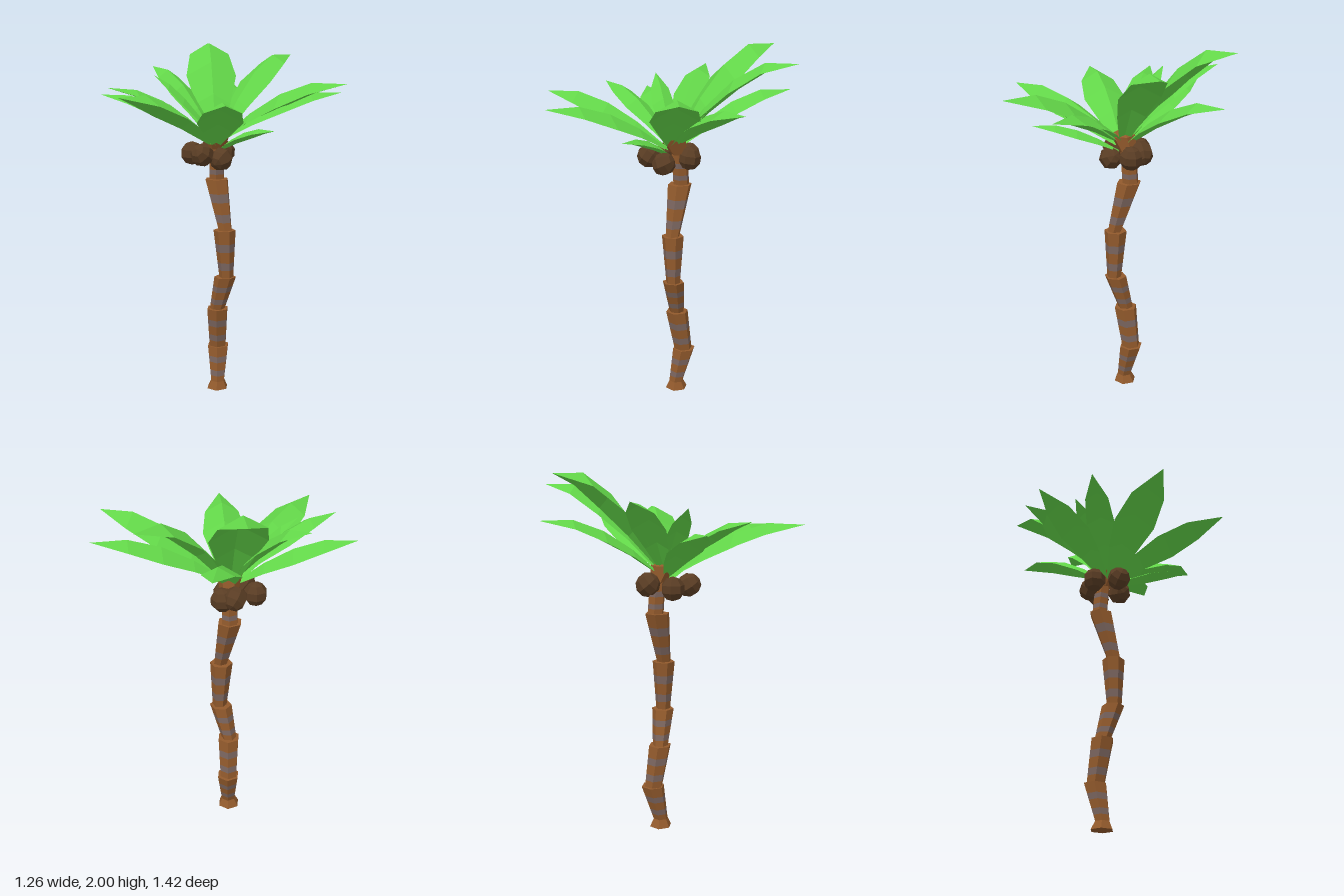
import * as THREE from 'three';

const paint = (color, extra = {}) => new THREE.MeshStandardMaterial({ color, flatShading: true, ...extra });

// Tapered, sheared six-sided piece between two rings given as [x, y, z, radius]
function piece(a, b, material, name, turn = 0, open = false) {
  const h = b[1] - a[1];
  const g = new THREE.CylinderGeometry(b[3], a[3], h, 6, 1, open, turn);
  const p = g.attributes.position;
  for (let i = 0; i < p.count; i++) {
    const t = p.getY(i) / h + 0.5;
    p.setXYZ(i, p.getX(i) + a[0] + (b[0] - a[0]) * t, a[1] + h * t, p.getZ(i) + a[2] + (b[2] - a[2]) * t);
  }
  g.computeVertexNormals();
  const mesh = new THREE.Mesh(g, material);
  mesh.name = name;
  return mesh;
}

// Arched, pointed leaf with a raised midrib, from hub to tip
function leaf(hub, tip, halfWidth, arch, material) {
  const dx = tip[0] - hub[0], dz = tip[2] - hub[2];
  const len = Math.hypot(dx, dz);
  const sx = dz / len, sz = -dx / len;
  // fraction along the leaf, bulge above the straight line, fraction of the width
  const sections = [[0.04, -0.04, 0.2], [0.27, 0.17, 0.68], [0.5, 0.27, 1], [0.74, 0.24, 0.8]];
  const pos = [], index = [];
  for (const [t, bulge, w] of sections) {
    const x = hub[0] + dx * t, z = hub[2] + dz * t;
    const y = hub[1] + (tip[1] - hub[1]) * (t + bulge * arch);
    for (const side of [-1, 0, 1]) {
      const o = side * w * halfWidth;
      pos.push(x + sx * o, y + w * halfWidth * 0.1 - Math.abs(o) * 0.55, z + sz * o);
    }
  }
  pos.push(...tip);
  for (let i = 0; i < 3; i++) {
    for (let j = 0; j < 2; j++) {
      const a = i * 3 + j;
      index.push(a, a + 3, a + 1, a + 1, a + 3, a + 4);
    }
  }
  index.push(9, 12, 10, 10, 12, 11);
  const g = new THREE.BufferGeometry();
  g.setAttribute('position', new THREE.Float32BufferAttribute(pos, 3));
  g.setIndex(index);
  g.computeVertexNormals();
  const mesh = new THREE.Mesh(g, material);
  mesh.name = 'leaf';
  return mesh;
}

export function createModel() {
  const model = new THREE.Group();
  model.name = 'palmTree';
  const bark = paint(0x925a2c), band = paint(0x7a655f), nutBrown = paint(0x5a3d24);
  const green = paint(0x62d548, { side: THREE.DoubleSide });
  const turned = Math.PI / 6;

  // Trunk: flared foot, then stacked segments that widen upwards
  const trunk = new THREE.Group();
  trunk.name = 'trunk';
  trunk.add(piece([-0.073, 0, -0.06, 0.064], [-0.07, 0.045, -0.06, 0.042], bark, 'foot', turned));
  const segments = [
    [[-0.07, 0.045, -0.06, 0.042], [-0.095, 0.25, -0.1, 0.066], turned],
    [[-0.095, 0.25, -0.095, 0.052], [-0.073, 0.49, -0.062, 0.065], turned],
    [[-0.073, 0.49, -0.06, 0.043], [-0.014, 0.69, -0.055, 0.062], 0],
    [[-0.006, 0.69, -0.055, 0.04], [-0.015, 0.965, -0.05, 0.063], 0],
    [[-0.01, 0.965, -0.05, 0.04], [-0.085, 1.25, -0.072, 0.069], turned],
    [[-0.09, 1.25, -0.08, 0.046], [-0.08, 1.42, -0.07, 0.045], turned],
  ];
  const cuts = [0, 0.16, 0.32, 0.55, 0.72, 1];
  for (const [a, b, turn] of segments) {
    const at = t => a.map((v, i) => v + (b[i] - v) * t);
    for (let k = 0; k < 5; k++) {
      trunk.add(piece(at(cuts[k]), at(cuts[k + 1]), k % 2 ? band : bark, k % 2 ? 'barkBand' : 'barkSegment', turn, k > 0 && k < 4));
    }
  }
  trunk.add(piece([-0.08, 1.42, -0.07, 0.045], [-0.058, 1.51, -0.04, 0.07], bark, 'crown'));
  trunk.add(piece([-0.058, 1.51, -0.04, 0.07], [-0.058, 1.54, -0.035, 0.01], bark, 'crownTop'));
  model.add(trunk);

  // Coconuts under the crown
  const nuts = new THREE.Group();
  nuts.name = 'coconuts';
  const nutGeometry = new THREE.SphereGeometry(0.066, 7, 5);
  [[-0.18, 1.4, 0.03], [-0.06, 1.405, 0.1], [-0.005, 1.375, 0], [-0.075, 1.4, -0.128], [-0.14, 1.415, -0.11]].forEach((p, i) => {
    const nut = new THREE.Mesh(nutGeometry, nutBrown);
    nut.name = 'coconut';
    nut.position.set(...p);
    nut.rotation.set(i, i * 2, 0);
    nuts.add(nut);
  });
  model.add(nuts);

  // Leaves: tip x, y, z, half width, height of the base, arch
  const leaves = new THREE.Group();
  leaves.name = 'leaves';
  const tips = [
    [0.01, 1.935, -0.715, 0.11, 1.48, 1], [0.46, 1.73, -0.52, 0.1, 1.48, 1],
    [0.63, 1.79, -0.24, 0.13, 1.48, 1], [0.405, 1.56, 0.11, 0.06, 1.42, 1],
    [0.385, 1.71, 0.525, 0.12, 1.46, 1], [-0.115, 1.74, 0.71, 0.12, 1.46, 1],
    [-0.41, 1.77, 0.46, 0.08, 1.48, 0.8], [-0.635, 1.72, 0.27, 0.095, 1.46, 0.9],
    [-0.57, 1.87, -0.11, 0.095, 1.48, 0.8], [-0.47, 2, -0.52, 0.145, 1.48, 1],
    [-0.36, 1.76, -0.635, 0.1, 1.46, 1], [-0.36, 1.83, 0.14, 0.065, 1.49, 0.4],
  ];
  for (const [x, y, z, w, base, arch] of tips) leaves.add(leaf([-0.06, base, -0.03], [x, y, z], w, arch, green));
  model.add(leaves);
  return model;
}
